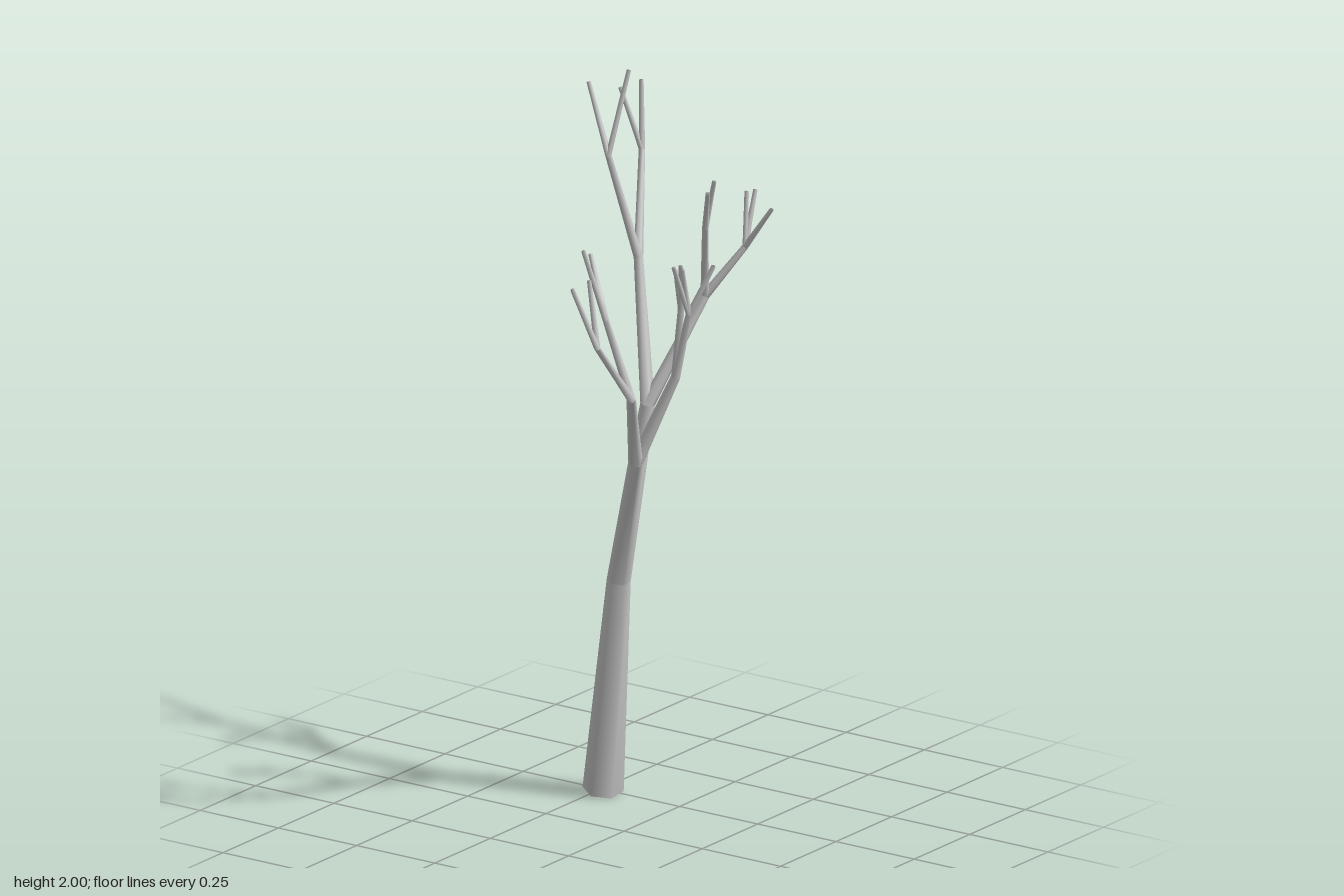
import * as THREE from 'three';

const SIDES = 6;
const UP = new THREE.Vector3(0, 1, 0);
const material = new THREE.MeshStandardMaterial({ color: 0xcccccc });

// Tree node: end point, radius there, and the limbs growing from it
const node = (x, y, z, r, ...limbs) => ({ p: new THREE.Vector3(x, y, z), r, limbs });
const tip = (x, y, z) => node(x, y, z, 0.0058);

// Hexagonal ring of points across a direction
function ring(center, dir, r) {
  const q = new THREE.Quaternion().setFromUnitVectors(UP, dir);
  return Array.from({ length: SIDES }, (_, i) => {
    const a = Math.PI / 2 - (i / SIDES) * Math.PI * 2;
    return new THREE.Vector3(Math.cos(a) * r, 0, Math.sin(a) * r).applyQuaternion(q).add(center);
  });
}

// Tapered tube between two rings; caps share its vertices, so the ends shade softly
function limbGeometry(low, high, capLow, capHigh) {
  const index = [];
  for (let i = 0; i < SIDES; i++) {
    const j = (i + 1) % SIDES;
    index.push(i, j, SIDES + j, i, SIDES + j, SIDES + i);
  }
  for (let i = 1; i < SIDES - 1; i++) {
    if (capLow) index.push(0, i + 1, i);
    if (capHigh) index.push(SIDES, SIDES + i, SIDES + i + 1);
  }
  const g = new THREE.BufferGeometry().setFromPoints([...low, ...high]);
  g.setIndex(index);
  g.computeVertexNormals();
  return g;
}

const NAMES = ['trunk', 'mainBranch', 'branch', 'smallBranch', 'twig'];

// Each limb starts on its parent's end ring, so the joints stay closed
function grow(group, from, startRing, limb, level) {
  const dir = limb.p.clone().sub(from).normalize();
  const low = startRing || ring(from, dir, 0.054);
  const high = ring(limb.p, dir, limb.r);
  const mesh = new THREE.Mesh(limbGeometry(low, high, level === 0, limb.limbs.length === 0), material);
  mesh.name = NAMES[level];
  group.add(mesh);
  limb.limbs.forEach((child) => grow(group, limb.p, high, child, level + 1));
}

export function createModel() {
  const group = new THREE.Group();
  group.name = 'bareTree';

  // Rear main branch
  const rear = node(-0.063, 1.11, -0.195, 0.0195,
    node(0.045, 1.40, -0.30, 0.0125,
      node(0.14, 1.54, -0.348, 0.0085,
        tip(0.15, 1.69, -0.38), tip(0.227, 1.66, -0.345), tip(0.14, 1.69, -0.355)),
      node(0.107, 1.62, -0.215, 0.0085,
        tip(0.164, 1.77, -0.175), tip(0.164, 1.745, -0.146))),
    node(-0.14, 1.48, -0.262, 0.0125,
      node(-0.197, 1.74, -0.358, 0.0085,
        tip(-0.242, 1.91, -0.325), tip(-0.20, 1.93, -0.36)),
      node(-0.187, 1.77, -0.193, 0.0085,
        tip(-0.25, 1.96, -0.193), tip(-0.15, 2.0, -0.233))));

  // Front main branch
  const front = node(0.035, 1.02, -0.003, 0.0195,
    node(0.14, 1.26, 0.165, 0.0125,
      node(0.138, 1.44, 0.315, 0.0085,
        tip(0.105, 1.61, 0.379), tip(0.08, 1.60, 0.345), tip(0.11, 1.62, 0.312)),
      node(0.106, 1.49, 0.232, 0.0085,
        tip(0.036, 1.65, 0.202), tip(0.078, 1.69, 0.293))),
    node(0.145, 1.27, -0.028, 0.0125,
      node(0.205, 1.46, -0.003, 0.0085,
        tip(0.27, 1.60, -0.023), tip(0.212, 1.61, 0.075), tip(0.222, 1.60, 0.05)),
      node(0.18, 1.47, -0.003, 0.0085,
        tip(0.195, 1.59, 0.043), tip(0.218, 1.61, 0.052))));

  const trunk = node(-0.127, 0.625, -0.155, 0.0315, rear, front);
  grow(group, new THREE.Vector3(-0.228, 0.012, -0.227), null, trunk, 0);
  return group;
}
